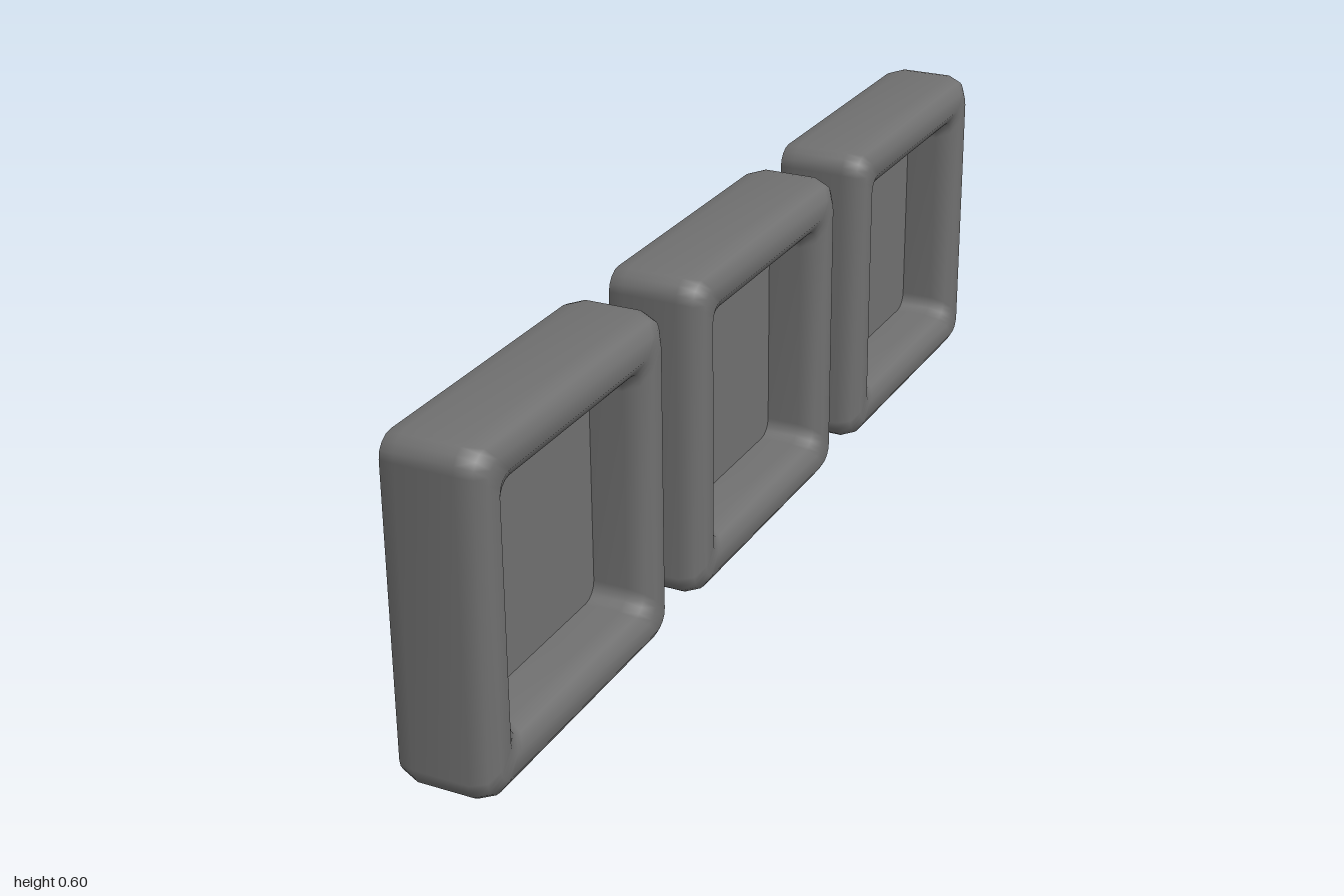
import * as THREE from 'three';

const CORNER_STEPS = 4;

// Rounded square of half-size h in the zy plane at depth x, counter-clockwise seen from +x
function loop(x, h, r) {
  const pts = [];
  for (let c = 0; c < 4; c++) {
    const mid = Math.PI / 4 + c * Math.PI / 2;
    const cz = Math.sign(Math.cos(mid)) * (h - r);
    const cy = Math.sign(Math.sin(mid)) * (h - r);
    for (let i = 0; i <= CORNER_STEPS; i++) {
      const a = (c + i / CORNER_STEPS) * Math.PI / 2;
      pts.push([x, cy + r * Math.sin(a), -(cz + r * Math.cos(a))]);
    }
  }
  return pts;
}

// Skin a list of [x, halfSize, cornerRadius] sections, ordered from the outside inwards
function skin(sections) {
  const rings = sections.map(s => loop(...s));
  const n = rings[0].length, index = [];
  for (let j = 0; j < rings.length - 1; j++) {
    for (let i = 0; i < n; i++) {
      const k = (i + 1) % n;
      const a = j * n + i, b = j * n + k, c = a + n, d = b + n;
      index.push(a, b, c, b, d, c);
    }
  }
  const g = new THREE.BufferGeometry();
  g.setAttribute('position', new THREE.Float32BufferAttribute(rings.flat(2), 3));
  g.setIndex(index);
  g.computeVertexNormals();
  return g;
}

export function createModel() {
  const model = new THREE.Group();
  const material = new THREE.MeshStandardMaterial({ color: 0x707070, side: THREE.DoubleSide });

  // Padded frame, hollow and open at the back: outer wall, rounded front lip, inner wall
  const frameGeometry = skin([
    [-0.085, 0.29, 0.035], [-0.055, 0.3, 0.04], [0.045, 0.3, 0.04],
    [0.072, 0.29, 0.035], [0.085, 0.27, 0.03], [0.085, 0.24, 0.03],
    [0.072, 0.22, 0.03], [0.045, 0.21, 0.03], [-0.055, 0.21, 0.03],
  ]);

  // Thin panel filling the opening
  const outline = new THREE.Shape(loop(0, 0.21, 0.03).map(p => new THREE.Vector2(-p[2], p[1])));
  const panelGeometry = new THREE.ShapeGeometry(outline).rotateY(Math.PI / 2);

  // Three identical units in a row
  [['front', 0.7], ['middle', 0], ['rear', -0.7]].forEach(([label, z]) => {
    const unit = new THREE.Group();
    unit.name = label + 'Window';
    const frame = new THREE.Mesh(frameGeometry, material);
    frame.name = 'frame';
    const panel = new THREE.Mesh(panelGeometry, material);
    panel.name = 'panel';
    panel.position.x = -0.017;
    unit.add(frame, panel);
    unit.position.set(0, 0.3, z);
    model.add(unit);
  });
  return model;
}
